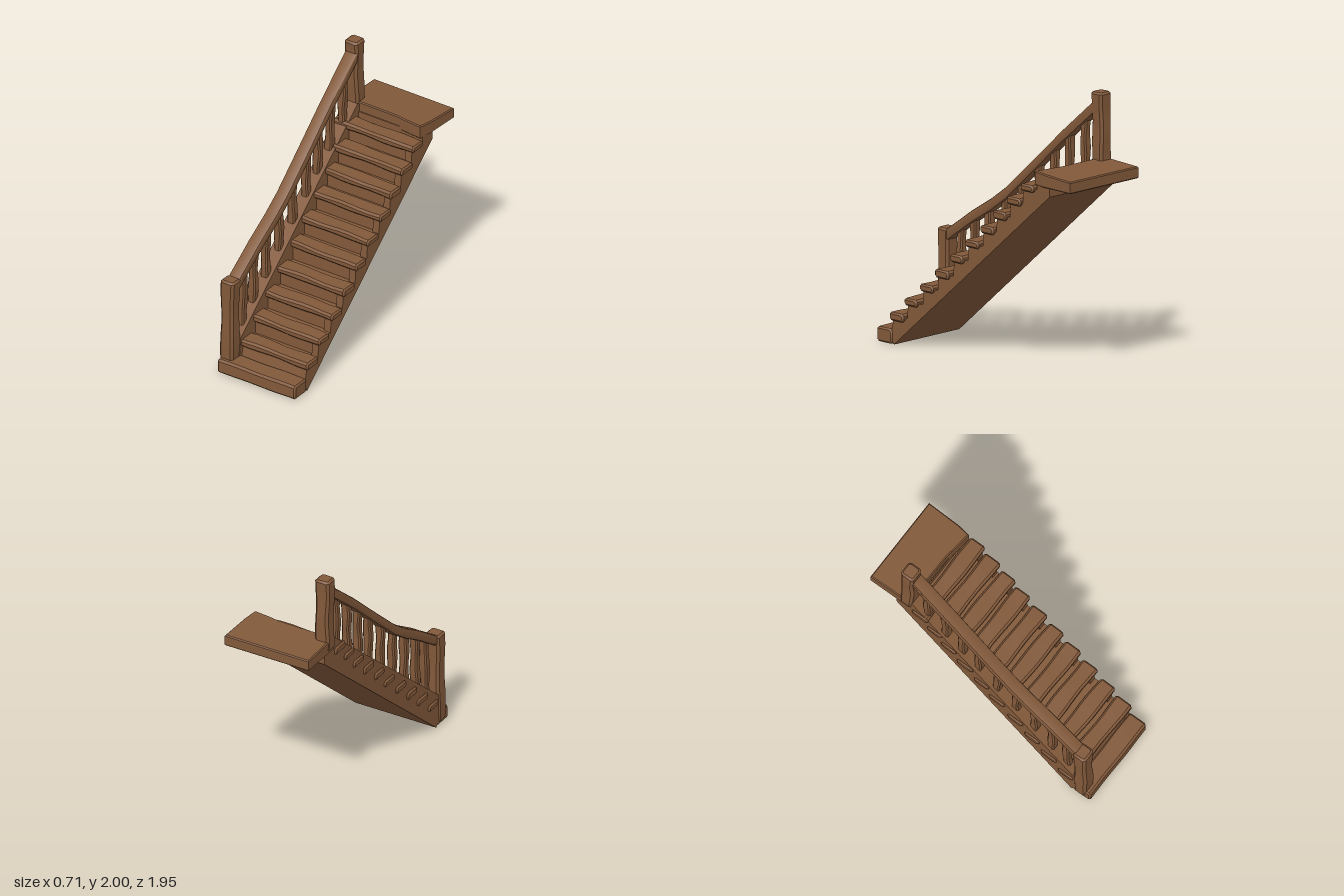
import * as THREE from 'three';
import { toCreasedNormals } from 'three/addons/utils/BufferGeometryUtils.js';

const wood = new THREE.MeshStandardMaterial({ color: 0x82593a });
wood.name = 'brown wood';

function add(parent, geometry, name) {
  const mesh = new THREE.Mesh(toCreasedNormals(geometry, 0.6), wood);
  mesh.name = name;
  parent.add(mesh);
  return mesh;
}

// Chamfered beam centred on the origin, running along z, with gently uneven faces
function beam(w, h, length, { bevel = 0.012, wobble = 0.005, seed = 0, steps = 8 } = {}) {
  const a = w / 2 - bevel, b = h / 2 - bevel, c = bevel * 0.7;
  const shape = new THREE.Shape([
    [a - c, -b], [a, -b + c], [a, b - c], [a - c, b],
    [-a + c, b], [-a, b - c], [-a, -b + c], [-a + c, -b],
  ].map(([x, y]) => new THREE.Vector2(x, y)));
  const g = new THREE.ExtrudeGeometry(shape, {
    depth: length - 2 * bevel, steps, bevelSize: bevel, bevelThickness: bevel, bevelSegments: 1,
  });
  g.translate(0, 0, bevel - length / 2);
  const p = g.attributes.position;
  for (let i = 0; i < p.count; i++) {
    const x = p.getX(i), y = p.getY(i), t = p.getZ(i) / length;
    p.setXYZ(i,
      x + wobble * Math.sin(t * 9 + seed * 2.3 + Math.sign(x)),
      y + wobble * 0.7 * Math.sin(t * 11 + seed * 1.7 + Math.sign(y) * 1.5),
      p.getZ(i));
  }
  return g;
}

// Side outline given as [z, y] points, made solid between two x positions
function sidePanel(points, x0, x1, bevel = 0) {
  const g = new THREE.ExtrudeGeometry(
    new THREE.Shape(points.map(([z, y]) => new THREE.Vector2(z, y))),
    {
      depth: x1 - x0 - 2 * bevel, bevelEnabled: bevel > 0, bevelSize: bevel,
      bevelOffset: -bevel, bevelThickness: bevel, bevelSegments: 2,
    });
  g.rotateY(-Math.PI / 2);
  g.translate(x1 - bevel, 0, 0);
  return g;
}

// Tread centres as [z, y]
const treads = [
  [0.765, 0.21], [0.62, 0.34], [0.465, 0.47], [0.315, 0.60], [0.16, 0.737],
  [0.015, 0.87], [-0.135, 1.0], [-0.27, 1.127], [-0.405, 1.255], [-0.535, 1.375],
];

// Stepped outline under the treads; lead moves the riser faces forward
function steppedOutline(lead, lean) {
  const pts = [[0.81, 0], [0.84, 0.06]];
  let below = 0.06;
  for (const [z, y] of treads) {
    if (below > 0.06) pts.push([z + lead + lean, below]);
    pts.push([z + lead, y]);
    below = y;
  }
  pts.push([-0.62, below], [-0.62, 1.43], [-0.745, 1.43], [-0.745, 1.34]);
  return pts.reverse();
}

export function createModel() {
  const model = new THREE.Group();
  model.name = 'staircase';

  // Stair body and side stringers
  add(model, sidePanel(steppedOutline(0.035, 0), -0.24, 0.28).clone(), 'risers');
  add(model, sidePanel(steppedOutline(0.045, 0.012), 0.275, 0.33), 'rightStringer');
  add(model, sidePanel([
    [0.81, 0], [-0.745, 1.34], [-0.745, 1.42], [-0.61, 1.5], [0.84, 0.26], [0.86, 0.05],
  ].reverse(), -0.34, -0.23), 'leftStringer');

  // Bottom step
  const first = beam(0.155, 0.112, 0.68, { wobble: 0.002, seed: 2 });
  first.rotateY(Math.PI / 2);
  first.translate(0, 0.056, 0.9);
  add(model, first, 'bottomStep');

  // Treads
  const treadGroup = new THREE.Group();
  treadGroup.name = 'treads';
  model.add(treadGroup);
  treads.forEach(([z, y], i) => {
    const g = beam(0.135, 0.057, 0.708, { seed: i + 1, wobble: 0.004 });
    g.rotateY(Math.PI / 2);
    g.rotateY(-0.012 - 0.012 * Math.sin(i * 2));
    g.translate(0, y, z);
    add(treadGroup, g, 'tread');
  });

  // Landing, with an uneven front edge
  const plan = new THREE.Shape([
    [-0.345, 0.975], [-0.345, 0.63], [0.1, 0.625], [0.2, 0.61], [0.325, 0.597], [0.342, 0.7], [0.355, 0.975],
  ].reverse().map(([x, y]) => new THREE.Vector2(x, y)).reverse());
  const landing = new THREE.ExtrudeGeometry(plan, {
    depth: 0.09, bevelSize: 0.008, bevelOffset: -0.008, bevelThickness: 0.008, bevelSegments: 1,
  });
  landing.rotateX(-Math.PI / 2);
  landing.translate(0, 1.411, 0);
  const lp = landing.attributes.position;
  for (let i = 0; i < lp.count; i++) {
    if (lp.getY(i) > 1.45) lp.setY(i, lp.getY(i) + (lp.getZ(i) + 0.6) * 0.05);
  }
  add(model, landing, 'landing');

  // Newel posts
  const post = (y0, y1, z, lean, seed, name) => {
    const g = beam(0.112, 0.108, y1 - y0, { seed, wobble: 0.004, bevel: 0.014 });
    g.rotateX(-Math.PI / 2);
    g.rotateX(lean);
    g.translate(-0.291, (y0 + y1) / 2, z);
    add(model, g, name);
  };
  post(0.02, 0.75, 0.885, -0.015, 1, 'lowerPost');
  post(1.42, 2.0, -0.658, 0.012, 4, 'upperPost');

  // Handrail, following a slightly sagging line of [z, y] centres
  const rail = [
    [0.85, 0.70], [0.72, 0.79], [0.6, 0.875], [0.4, 1.0], [0.25, 1.11],
    [0, 1.335], [-0.3, 1.61], [-0.63, 1.89],
  ];
  const half = 0.045;
  const outline = [
    ...rail.map(([z, y]) => [z, y + half]),
    ...rail.slice().reverse().map(([z, y]) => [z, y - half]),
  ];
  add(model, sidePanel(outline, -0.337, -0.235, 0.018), 'handrail');

  // Balusters between stringer and handrail
  const railY = (z) => {
    const i = Math.max(1, rail.findIndex((p) => p[0] <= z));
    const [z0, y0] = rail[i - 1], [z1, y1] = rail[i];
    return y0 + (y1 - y0) * (z - z0) / (z1 - z0);
  };
  const balusters = new THREE.Group();
  balusters.name = 'balusters';
  model.add(balusters);
  [0.737, 0.605, 0.452, 0.288, 0.122, -0.047, -0.195, -0.345, -0.503].forEach((z, i) => {
    const bottom = 0.22 + (0.84 - z) * 0.855, top = railY(z);
    const g = beam(0.06, 0.057, top - bottom, { seed: i, wobble: 0.004, bevel: 0.008 });
    g.rotateX(-Math.PI / 2);
    g.rotateX(0.03 * Math.sin(i * 0.9 - 1.5));
    g.translate(-0.286, (top + bottom) / 2, z);
    add(balusters, g, 'baluster');
  });

  return model;
}
